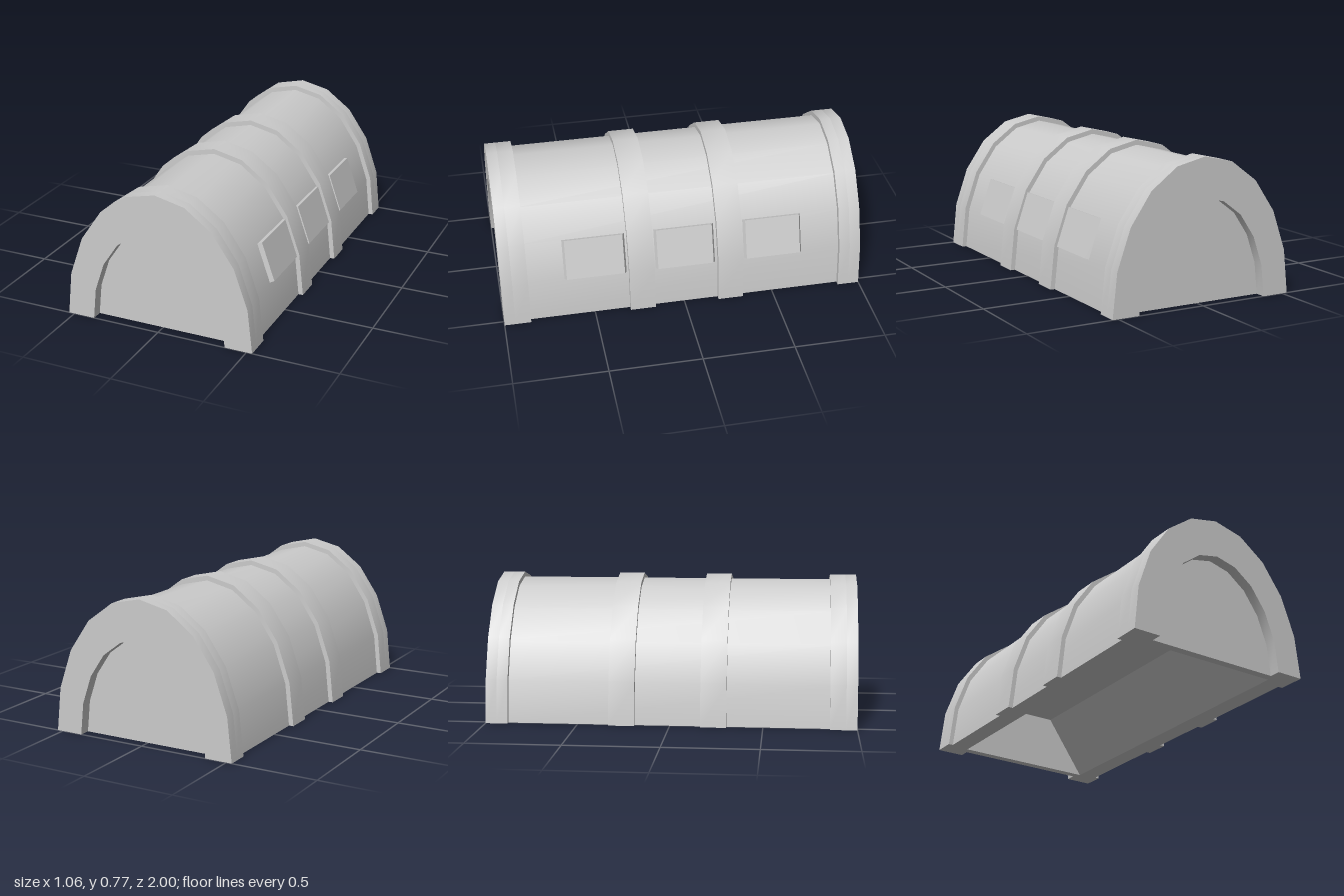
import * as THREE from 'three';
import { toCreasedNormals } from 'three/addons/utils/BufferGeometryUtils.js';

const material = new THREE.MeshStandardMaterial({ color: 0xcccccc });

// Half-ellipse outline in 18 degree steps, from right foot over the top to left foot
function arch(rx, ry) {
  return Array.from({ length: 11 }, (_, i) => {
    const a = (i * Math.PI) / 10;
    return new THREE.Vector2(rx * Math.cos(a), ry * Math.sin(a));
  });
}

const OUTER = arch(0.532, 0.772);
const BODY = arch(0.506, 0.745);
const OPENING = arch(0.38, 0.56);
const CAVITY = [[0.4, 0], [0.175, 0.32], [-0.175, 0.32], [-0.4, 0]]
  .map(([x, y]) => new THREE.Vector2(x, y));

export function createModel() {
  const group = new THREE.Group();

  function add(name, geometry) {
    const mesh = new THREE.Mesh(geometry, material);
    mesh.name = name;
    group.add(mesh);
    return mesh;
  }

  // Extrudes the area between two arches (or a solid arch) from z0 to z1
  function slab(name, outline, inner, z0, z1) {
    const points = inner ? [...outline, ...[...inner].reverse()] : outline;
    const geometry = new THREE.ExtrudeGeometry(new THREE.Shape(points), {
      depth: z1 - z0, bevelEnabled: false,
    });
    geometry.translate(0, 0, z0);
    return add(name, toCreasedNormals(geometry, 0.7));
  }

  // Vaulted body, hollow underneath
  slab('body', BODY, CAVITY, -0.895, 0.895);

  // Recessed end walls, framed by raised portals
  slab('frontWall', BODY, null, 0.895, 0.94);
  slab('backWall', BODY, null, -0.94, -0.895);
  slab('frontPortal', OUTER, OPENING, 0.94, 1);
  slab('backPortal', OUTER, OPENING, -1, -0.94);

  // Raised bands around the body
  slab('frontBand', OUTER, BODY, 0.855, 0.94);
  slab('frontRib', OUTER, BODY, 0.165, 0.305);
  slab('backRib', OUTER, BODY, -0.33, -0.19);
  slab('backBand', OUTER, BODY, -0.94, -0.88);

  // Window panels on the left side, their ends tapering outwards
  const windows = [[0.305, 0.668], [-0.187, 0.167], [-0.677, -0.328]];
  const a = BODY[1], b = BODY[2];
  for (const [z0, z1] of windows) {
    const length = z1 - z0;
    let geometry = new THREE.BoxGeometry(0.044, a.distanceTo(b), length);
    const p = geometry.attributes.position;
    for (let i = 0; i < p.count; i++) {
      if (p.getX(i) > 0) p.setZ(i, Math.sign(p.getZ(i)) * (length / 2 - 0.023));
    }
    geometry = geometry.toNonIndexed();
    geometry.computeVertexNormals();
    const panel = add('windowPanel', geometry);
    panel.position.set((a.x + b.x) / 2, (a.y + b.y) / 2, (z0 + z1) / 2);
    panel.rotation.z = Math.atan2(a.x - b.x, b.y - a.y);
  }
  return group;
}
